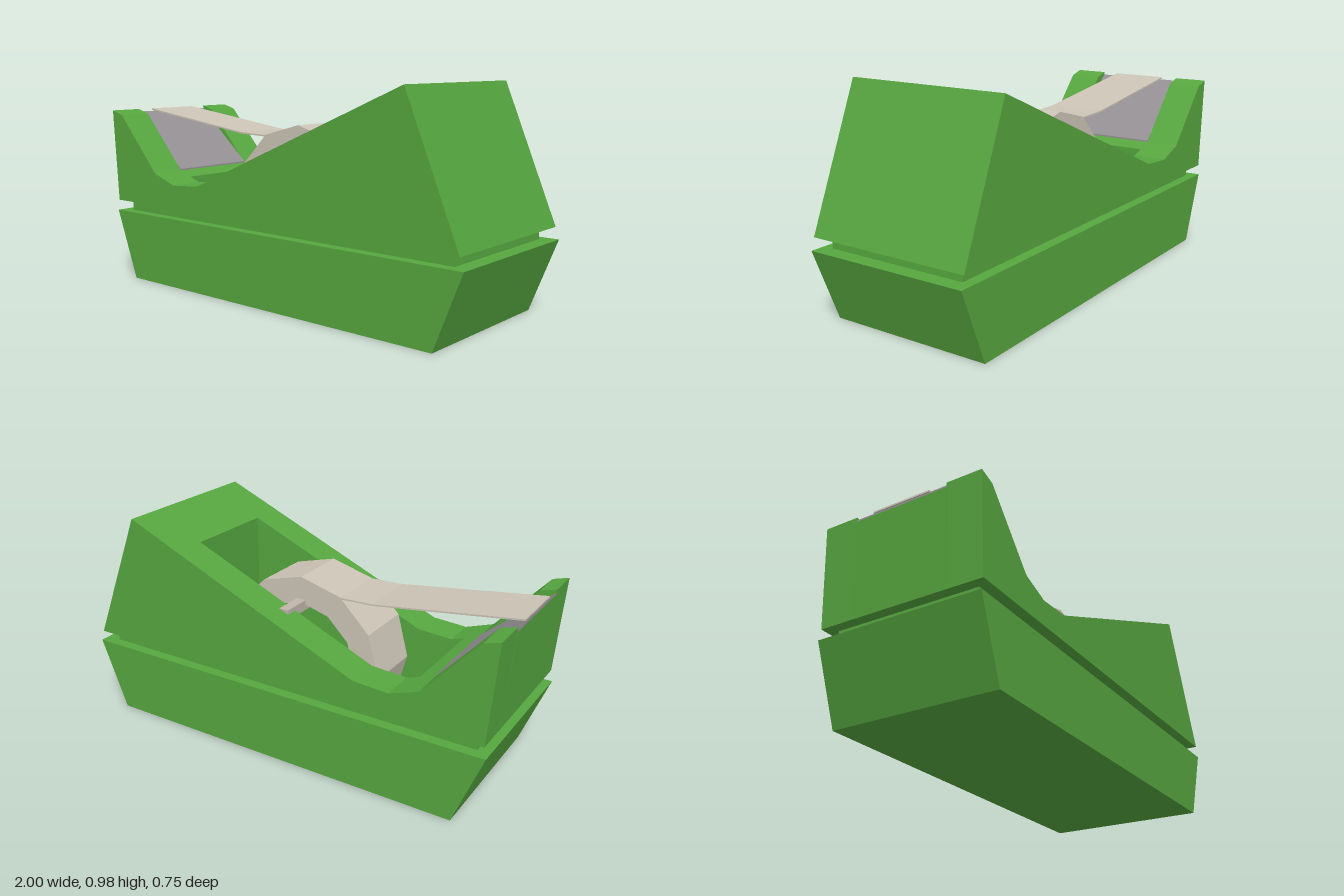
import * as THREE from 'three';

const mat = (name, color) => {
  const m = new THREE.MeshStandardMaterial({ color });
  m.name = name;
  return m;
};

export function createModel() {
  const green = mat('green plastic', 0x56a63f);
  const beige = mat('tape beige', 0xccc4b6);
  const grey = mat('cutter grey', 0x959094);
  const pin = mat('axle grey', 0xc0b4ac);

  const model = new THREE.Group();
  model.name = 'tapeDispenser';

  const toShape = pts => new THREE.Shape(pts.map(p => new THREE.Vector2(p[0], p[1])));

  // Straight prism of an xy outline between two depths
  function prism(name, shape, z0, z1, material, parent = model) {
    const geo = new THREE.ExtrudeGeometry(shape, { depth: z1 - z0, bevelEnabled: false });
    geo.translate(0, 0, z0);
    const mesh = new THREE.Mesh(geo, material);
    mesh.name = name;
    parent.add(mesh);
  }

  // One storey of the body: two side walls and two end blocks around the well
  const wellL = -0.62, wellR = 0.48, wellZ = 0.215;
  function storey(name, outline, leftEnd, rightEnd, halfDepth) {
    const group = new THREE.Group();
    group.name = name;
    prism('sideWallFront', toShape(outline), wellZ, halfDepth, green, group);
    prism('sideWallBack', toShape(outline), -halfDepth, -wellZ, green, group);
    prism('leftEnd', toShape(leftEnd), -wellZ, wellZ, green, group);
    prism('rightEnd', toShape(rightEnd), -wellZ, wellZ, green, group);
    model.add(group);
  }

  // Flared base
  const y1 = 0.325, y2 = 0.376;
  storey('base',
    [[-0.855, 0], [0.87, 0], [0.997, y1], [-0.98, y1]],
    [[-0.855, 0], [wellL, 0], [wellL, y1], [-0.98, y1]],
    [[wellR, 0], [0.87, 0], [0.997, y1], [wellR, y1]], 0.373);
  prism('wellFloor', toShape([[wellL, 0], [wellR, 0], [wellR, 0.02], [wellL, 0.02]]), -wellZ, wellZ, green);

  // Recessed groove
  storey('groove',
    [[-0.925, y1], [0.93, y1], [0.93, y2], [-0.925, y2]],
    [[-0.925, y1], [wellL, y1], [wellL, y2], [-0.925, y2]],
    [[wellR, y1], [0.93, y1], [0.93, y2], [wellR, y2]], 0.325);

  // Wedge body with the raised ears beside the cutter
  const slopeY = x => 0.495 + (x + 0.4) * (0.48 / 1.13);
  const dipY = 0.53 - 0.07 * (0.045 / 0.13);
  storey('upperBody',
    [[-0.97, y2], [0.98, y2], [0.73, 0.975], [-0.4, 0.495], [-0.56, 0.485],
      [-0.69, 0.53], [-0.93, 0.795], [-1, 0.815]],
    [[-0.97, y2], [wellL, y2], [wellL, dipY], [-0.69, 0.53], [-1, 0.795]],
    [[wellR, y2], [0.98, y2], [0.73, 0.975], [wellR, slopeY(wellR)]], 0.373);

  // Sloping cutter plate
  prism('cutterPlate', toShape([[-1, 0.795], [-0.69, 0.53], [-0.69, 0.537], [-1, 0.802]]),
    -wellZ, wellZ, grey);

  // Twelve-sided tape roll
  const ring = r => Array.from({ length: 12 }, (_, i) => {
    const a = i * Math.PI / 6;
    return new THREE.Vector2(r * Math.sin(a), 0.39 + r * Math.cos(a));
  });
  const roll = new THREE.Shape(ring(0.388));
  roll.holes.push(new THREE.Path(ring(0.27)));
  prism('tapeRoll', roll, -0.135, 0.135, beige);

  // Loose strip running to the cutter
  prism('tapeStrip', toShape([[-0.998, 0.808], [-0.35, 0.722], [-0.194, 0.717],
    [-0.194, 0.724], [-0.35, 0.729], [-0.998, 0.815]]), -0.135, 0.135, beige);

  // Axle across the well, resting in the side walls
  const axle = new THREE.Mesh(new THREE.BoxGeometry(0.045, 0.045, 0.54), pin);
  axle.name = 'axle';
  axle.position.set(0, 0.652, 0);
  model.add(axle);

  return model;
}
